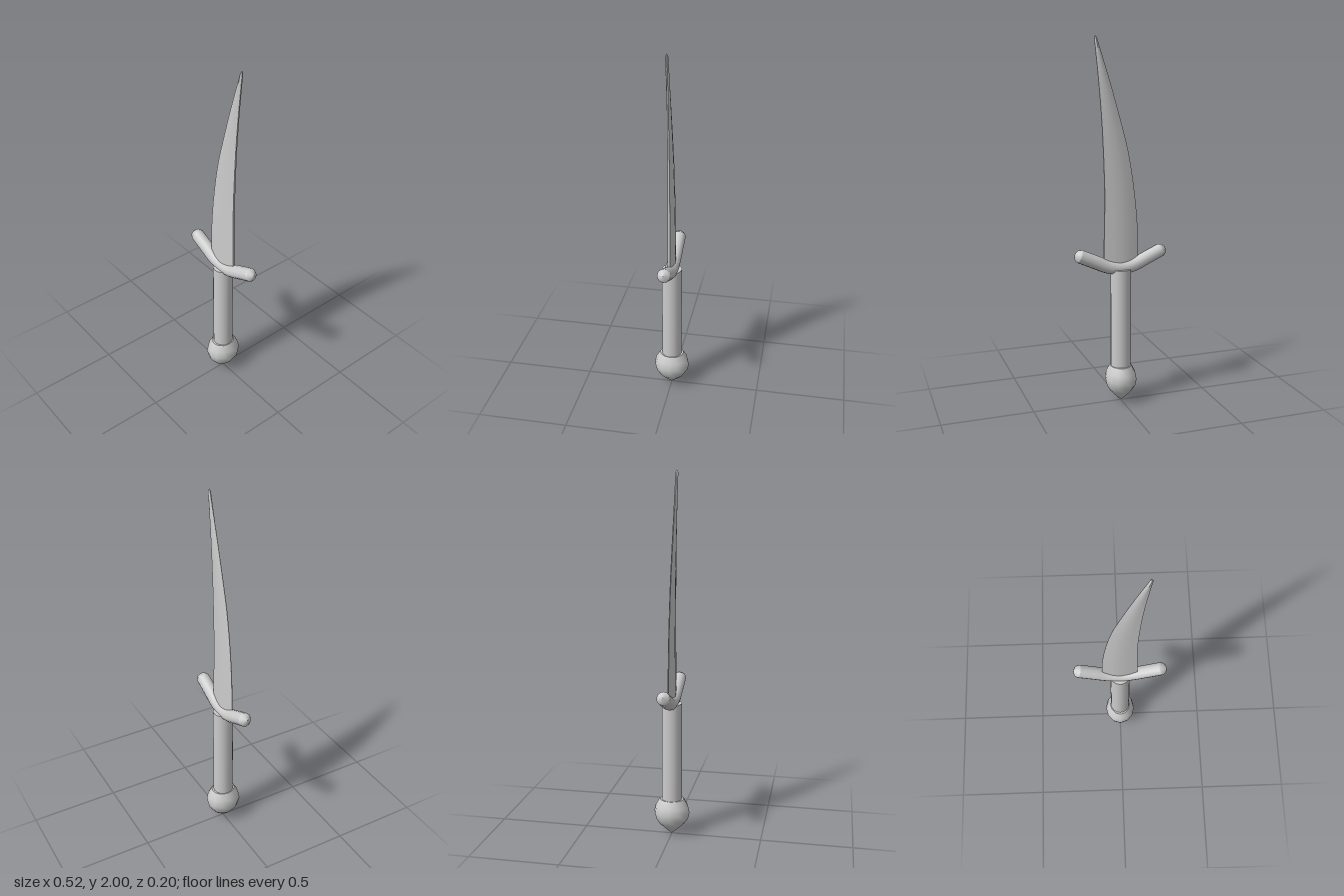
import * as THREE from 'three';
import { toCreasedNormals } from 'three/addons/utils/BufferGeometryUtils.js';

const v2 = (pts) => pts.map(([x, y]) => new THREE.Vector2(x, y));

// Curved blade: thin lens sections lofted between a curved cutting edge and a blunt spine
function bladeGeometry() {
  const curve = (pts) => new THREE.CatmullRomCurve3(pts.map(([x, y]) => new THREE.Vector3(x, y, 0)));
  const edge = curve([[-0.1, 0.77], [-0.095, 1.0], [-0.075, 1.2], [-0.042, 1.4], [0.005, 1.58], [0.063, 1.78], [0.128, 1.985]]);
  const spine = curve([[0.097, 0.77], [0.093, 1.0], [0.091, 1.2], [0.097, 1.4], [0.106, 1.58], [0.122, 1.78], [0.143, 1.985]]);
  const section = [[0, 0.1], [0.25, 0.75], [0.5, 1], [0.75, 0.75], [1, 0.35]]; // across, thickness
  const rows = 24, n = section.length * 2;
  const pos = [], index = [];
  for (let i = 0; i <= rows; i++) {
    const t = i / rows;
    const a = edge.getPoint(t), b = spine.getPoint(t);
    const half = 0.019 - 0.011 * t;
    const ring = section.map(([s, h]) => [s, half * h]);
    const back = ring.map(([s, z]) => [s, -z]).reverse();
    for (const [s, z] of [...ring, ...back]) {
      pos.push(a.x + (b.x - a.x) * s, a.y + (b.y - a.y) * s, z);
    }
  }
  for (let i = 0; i < rows; i++) {
    for (let j = 0; j < n; j++) {
      const a = i * n + j, b = i * n + (j + 1) % n;
      index.push(a, b, b + n, a, b + n, a + n);
    }
  }
  // Rounded tip and closed base
  const tip = pos.length / 3;
  pos.push(0.138, 2.0, 0, 0, 0.77, 0);
  for (let j = 0; j < n; j++) {
    const k = (j + 1) % n;
    index.push(rows * n + j, rows * n + k, tip, k, j, tip + 1);
  }
  const g = new THREE.BufferGeometry();
  g.setAttribute('position', new THREE.Float32BufferAttribute(pos, 3));
  g.setIndex(index);
  return toCreasedNormals(g, 0.6);
}

export function createModel() {
  const model = new THREE.Group();
  model.name = 'dagger';
  const grey = new THREE.MeshStandardMaterial({ color: 0xcccccc });
  grey.name = 'light grey';

  const add = (name, geometry, parent = model) => {
    const mesh = new THREE.Mesh(geometry, grey);
    mesh.name = name;
    parent.add(mesh);
    return mesh;
  };

  add('blade', bladeGeometry());

  // Upswept crossguard with pointed ends
  const guard = new THREE.Group();
  guard.name = 'crossguard';
  model.add(guard);
  const path = new THREE.CatmullRomCurve3(
    [[-0.232, 0.848], [-0.15, 0.811], [-0.07, 0.776], [0, 0.765], [0.07, 0.776], [0.15, 0.811], [0.232, 0.848]]
      .map(([x, y]) => new THREE.Vector3(x, y, 0)));
  const radius = 0.037;
  add('guardBar', new THREE.TubeGeometry(path, 28, radius, 12, false), guard);
  const capProfile = v2([[radius, 0], [0.027, 0.017], [0, 0.03]]);
  for (const side of [-1, 1]) {
    const cap = add(side > 0 ? 'guardTipLeft' : 'guardTipRight', new THREE.LatheGeometry(capProfile, 12), guard);
    cap.position.copy(path.getPoint(side > 0 ? 1 : 0));
    const out = path.getTangent(side > 0 ? 1 : 0).multiplyScalar(side);
    cap.quaternion.setFromUnitVectors(new THREE.Vector3(0, 1, 0), out);
  }

  // Straight round grip
  const grip = add('grip', new THREE.CylinderGeometry(0.056, 0.056, 0.57, 16));
  grip.position.y = 0.475;

  // Drop-shaped pommel, slightly narrower across x
  const profile = v2([[0, 0], [0.035, 0.03], [0.072, 0.064], [0.092, 0.096], [0.1, 0.13], [0.092, 0.168], [0.068, 0.208], [0, 0.208]]);
  const pommel = add('pommel', toCreasedNormals(new THREE.LatheGeometry(profile, 12), 0.9));
  pommel.scale.x = 0.88;

  return model;
}
